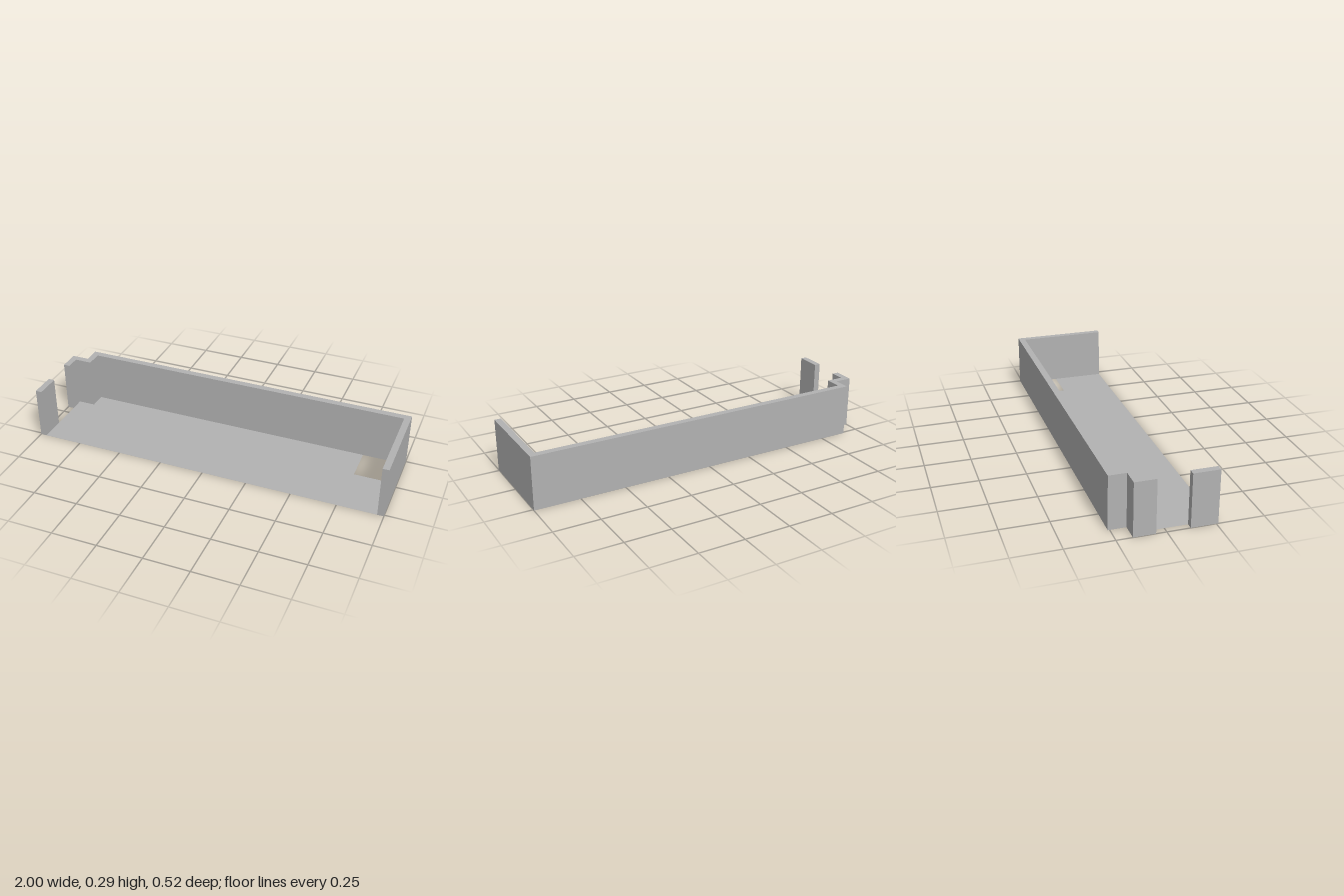
import * as THREE from 'three';

const HEIGHT = 0.29;

export function createModel() {
  const model = new THREE.Group();
  model.name = 'openTray';
  const grey = new THREE.MeshStandardMaterial({ color: 0xb2b2b2, side: THREE.DoubleSide });
  grey.name = 'plain grey';

  // Plan outlines are [x, z] pairs
  const outline = (points) => new THREE.Shape(points.map(([x, z]) => new THREE.Vector2(x, z)));

  const add = (name, geometry) => {
    const mesh = new THREE.Mesh(geometry, grey);
    mesh.name = name;
    model.add(mesh);
  };

  // Upright hollow wall: sides and top cap, open underneath
  const addWall = (name, points) => {
    const solid = new THREE.ExtrudeGeometry(outline(points), { depth: HEIGHT, bevelEnabled: false });
    solid.rotateX(Math.PI / 2).translate(0, HEIGHT, 0);
    const pos = solid.attributes.position;
    const kept = [];
    for (let i = 0; i < pos.count; i += 3) {
      const onBase = [0, 1, 2].every((k) => pos.getY(i + k) < 0.001);
      if (!onBase) for (let k = 0; k < 3; k++) kept.push(pos.getX(i + k), pos.getY(i + k), pos.getZ(i + k));
    }
    const wall = new THREE.BufferGeometry();
    wall.setAttribute('position', new THREE.Float32BufferAttribute(kept, 3));
    wall.computeVertexNormals();
    add(name, wall);
  };

  // Back and left wall in one run, stepping in at the right rear corner
  addWall('mainWall', [
    [1, 0.26], [1, -0.26], [-0.905, -0.26], [-0.905, -0.167], [-1, -0.167], [-1, -0.053],
    [-0.965, -0.053], [-0.965, -0.132], [-0.87, -0.132], [-0.87, -0.224], [0.965, -0.224], [0.965, 0.26],
  ]);

  // Short wall in front of the doorway gap
  addWall('frontPost', [[-1, 0.12], [-0.965, 0.12], [-0.965, 0.26], [-1, 0.26]]);

  // Thin floor with a rectangular opening in the left rear corner
  const floor = new THREE.ShapeGeometry(outline([
    [-0.965, 0.26], [0.965, 0.26], [0.965, -0.031], [0.766, -0.031],
    [0.766, -0.224], [-0.87, -0.224], [-0.87, -0.132], [-0.965, -0.132],
  ]));
  // Turn the sheet level, then reverse its winding so it faces up
  floor.rotateX(Math.PI / 2);
  add('floor', floor);

  return model;
}
